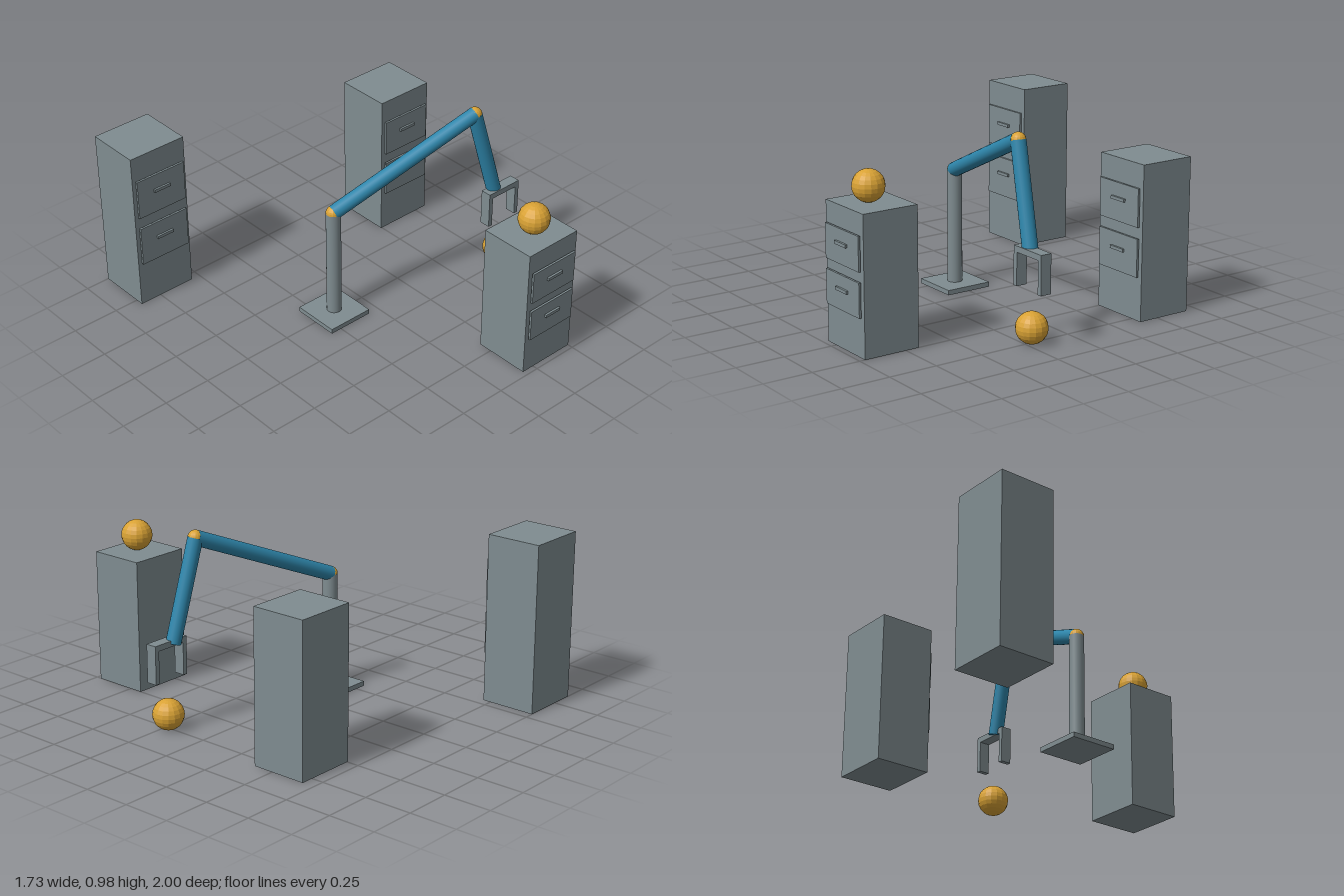
import * as THREE from 'three';

const grey = new THREE.MeshStandardMaterial({ name: 'steel grey', color: 0x7f8c90 });
const blue = new THREE.MeshStandardMaterial({ name: 'arm blue', color: 0x2e86ab });
const gold = new THREE.MeshStandardMaterial({ name: 'golden', color: 0xd9a234 });
gold.flatShading = true;

function add(parent, name, geometry, material, x = 0, y = 0, z = 0) {
  const mesh = new THREE.Mesh(geometry, material);
  mesh.name = name;
  mesh.position.set(x, y, z);
  parent.add(mesh);
  return mesh;
}

function box(parent, name, w, h, d, x, y, z) {
  return add(parent, name, new THREE.BoxGeometry(w, h, d), grey, x, y, z);
}

function ball(parent, name, r, x, y, z) {
  return add(parent, name, new THREE.SphereGeometry(r, 16, 12), gold, x, y, z);
}

// Round bar between two points
function bar(parent, name, a, b, r, material) {
  const dir = b.clone().sub(a);
  const mesh = add(parent, name, new THREE.CylinderGeometry(r, r, dir.length(), 24), material);
  mesh.position.copy(a).add(b).multiplyScalar(0.5);
  mesh.quaternion.setFromUnitVectors(new THREE.Vector3(0, 1, 0), dir.normalize());
  return mesh;
}

// Filing cabinet with two drawers; z is the centre of its body
function cabinet(name, x, z, height) {
  const group = new THREE.Group();
  group.name = name;
  group.position.set(x, 0, z);
  const width = 0.321, depth = 0.293, front = depth / 2;
  box(group, 'cabinetBody', width, height, depth, 0, height / 2, 0);
  for (const [label, panelY, handleY] of [['upper', 0.726, 0.749], ['lower', 0.407, 0.43]]) {
    box(group, label + 'Drawer', 0.285, height * 0.246, 0.011, 0, height * panelY, front + 0.011);
    box(group, label + 'Handle', 0.096, 0.016, 0.012, 0, height * handleY, front + 0.0215);
  }
  return group;
}

// Robot arm: base, post, two links, joints and gripper
function robotArm() {
  const group = new THREE.Group();
  group.name = 'robotArm';
  const shoulder = new THREE.Vector3(-0.186, 0.61, 0);
  const elbow = new THREE.Vector3(0.592, 0.938, 0.18);
  const wrist = new THREE.Vector3(0.728, 0.437, 0.207);
  const r = 0.038;

  box(group, 'basePlate', 0.25, 0.025, 0.25, shoulder.x, 0.0125, 0);
  bar(group, 'post', new THREE.Vector3(shoulder.x, 0.025, 0), shoulder, r, grey);
  bar(group, 'upperArm', shoulder, elbow, r, blue);
  bar(group, 'forearm', elbow, wrist, r, blue);
  ball(group, 'shoulderJoint', r, ...shoulder);
  ball(group, 'elbowJoint', r, ...elbow);

  const gripper = new THREE.Group();
  gripper.name = 'gripper';
  gripper.position.set(0.76, 0, 0.22);
  box(gripper, 'palm', 0.21, 0.03, 0.058, 0, 0.445, 0);
  for (const side of [-1, 1]) {
    box(gripper, side > 0 ? 'leftFinger' : 'rightFinger', 0.024, 0.17, 0.058, side * 0.093, 0.35, 0);
  }
  group.add(gripper);
  return group;
}

export function createModel() {
  const model = new THREE.Group();
  model.name = 'robotWorkshop';
  model.add(
    cabinet('tallCabinet', -0.709, -0.8535, 0.87),
    cabinet('mediumCabinet', 0.655, -0.5395, 0.78),
    cabinet('shortCabinet', 0.341, 0.8255, 0.688),
    robotArm()
  );
  ball(model, 'cabinetBall', 0.079, 0.34, 0.767, 0.84);
  ball(model, 'floorBall', 0.079, 0.76, 0.079, 0.22);
  return model;
}
